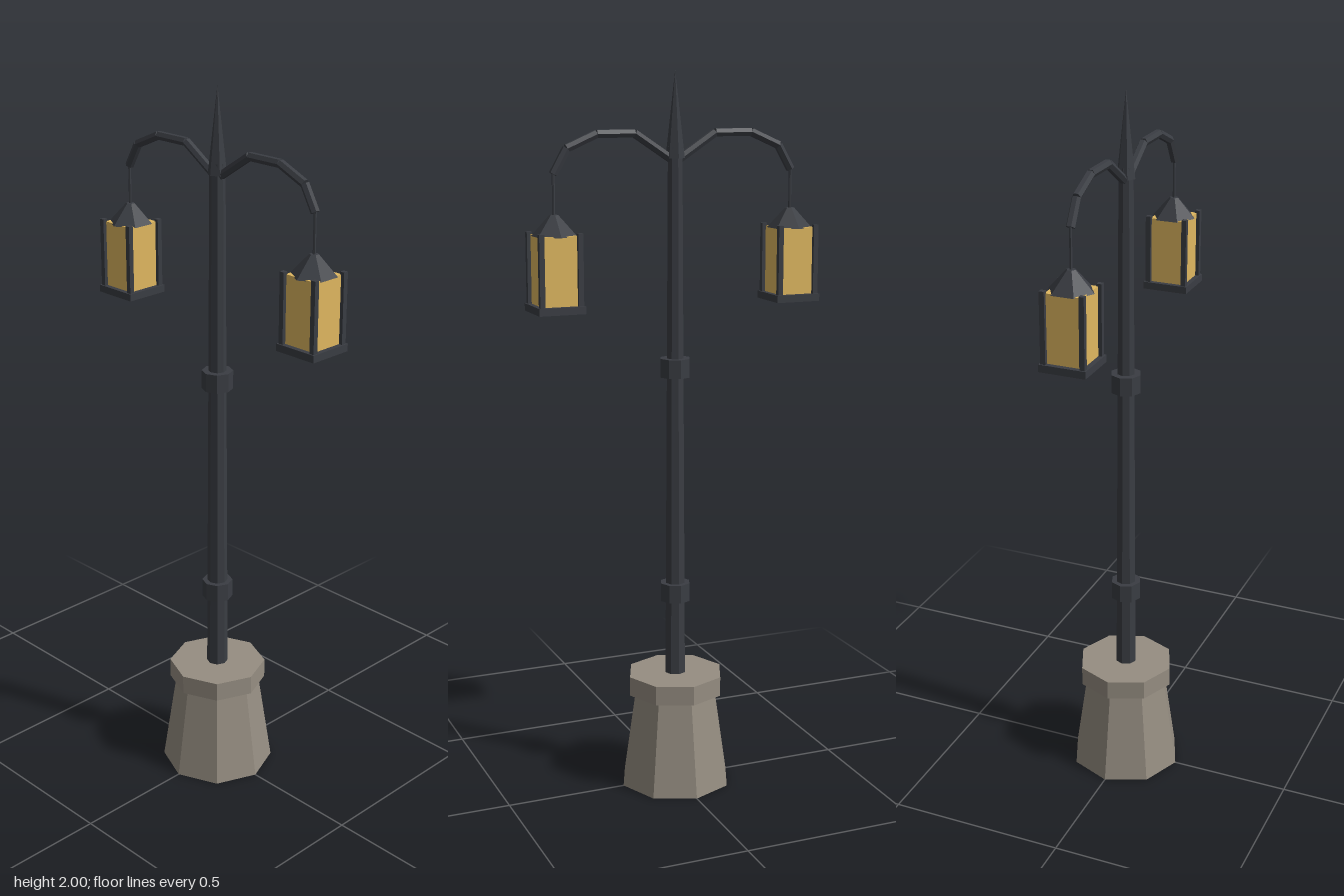
import * as THREE from 'three';

const iron = new THREE.MeshStandardMaterial({ color: 0x3a3d43, flatShading: true });
const stone = new THREE.MeshStandardMaterial({ color: 0x968e82, flatShading: true });
const glass = new THREE.MeshStandardMaterial({ color: 0xe0b860, flatShading: true });

function add(parent, name, geometry, material) {
  const mesh = new THREE.Mesh(geometry, material);
  mesh.name = name;
  parent.add(mesh);
  return mesh;
}

// Upright faceted column between two heights
function column(parent, name, y0, y1, r0, r1, sides, material = iron) {
  const mesh = add(parent, name, new THREE.CylinderGeometry(r1, r0, y1 - y0, sides), material);
  mesh.position.y = (y0 + y1) / 2;
  return mesh;
}

// Upright square block between two heights
function block(parent, name, y0, y1, width, material = iron) {
  const mesh = add(parent, name, new THREE.BoxGeometry(width, y1 - y0, width), material);
  mesh.position.y = (y0 + y1) / 2;
  return mesh;
}

// Straight rod joining two points
function rod(parent, name, a, b, radius) {
  const dir = new THREE.Vector3().subVectors(b, a);
  const mesh = add(parent, name, new THREE.CylinderGeometry(radius, radius, dir.length(), 6), iron);
  mesh.position.addVectors(a, b).multiplyScalar(0.5);
  mesh.quaternion.setFromUnitVectors(new THREE.Vector3(0, 1, 0), dir.normalize());
}

function createLantern() {
  const lantern = new THREE.Group();
  lantern.name = 'lantern';
  column(lantern, 'hanger', 1.61, 1.74, 0.004, 0.004, 6);
  column(lantern, 'lanternRoof', 1.575, 1.63, 0.062, 0.012, 6);
  block(lantern, 'lanternGlass', 1.39, 1.578, 0.1, glass);
  block(lantern, 'lanternFloor', 1.375, 1.395, 0.128);
  for (const x of [-0.053, 0.053]) {
    for (const z of [-0.053, 0.053]) {
      const post = block(lantern, 'lanternPost', 1.39, 1.585, 0.014);
      post.position.x = x;
      post.position.z = z;
    }
  }
  return lantern;
}

export function createModel() {
  const model = new THREE.Group();
  model.name = 'streetLamp';

  // Stone plinth
  column(model, 'plinth', 0, 0.27, 0.16, 0.12, 8, stone);
  column(model, 'plinthCap', 0.27, 0.325, 0.138, 0.138, 8, stone);

  // Pole, collars and spike
  column(model, 'pole', 0.32, 1.8, 0.03, 0.021, 8);
  for (const y of [0.565, 1.205]) column(model, 'collar', y - 0.026, y + 0.026, 0.043, 0.043, 8);
  column(model, 'spike', 1.77, 2, 0.026, 0, 6);

  // Mirrored curved arms with hanging lanterns
  const path = [[0, 1.76], [0.116, 1.836], [0.222, 1.836], [0.305, 1.8], [0.342, 1.735]];
  for (const side of [-1, 1]) {
    const arm = new THREE.Group();
    arm.name = side > 0 ? 'leftArm' : 'rightArm';
    const points = path.map(([x, y]) => new THREE.Vector3(x * side, y, 0));
    for (let i = 1; i < points.length; i++) rod(arm, 'armSegment', points[i - 1], points[i], 0.012);
    const lantern = createLantern();
    lantern.position.x = 0.342 * side;
    arm.add(lantern);
    model.add(arm);
  }
  return model;
}
